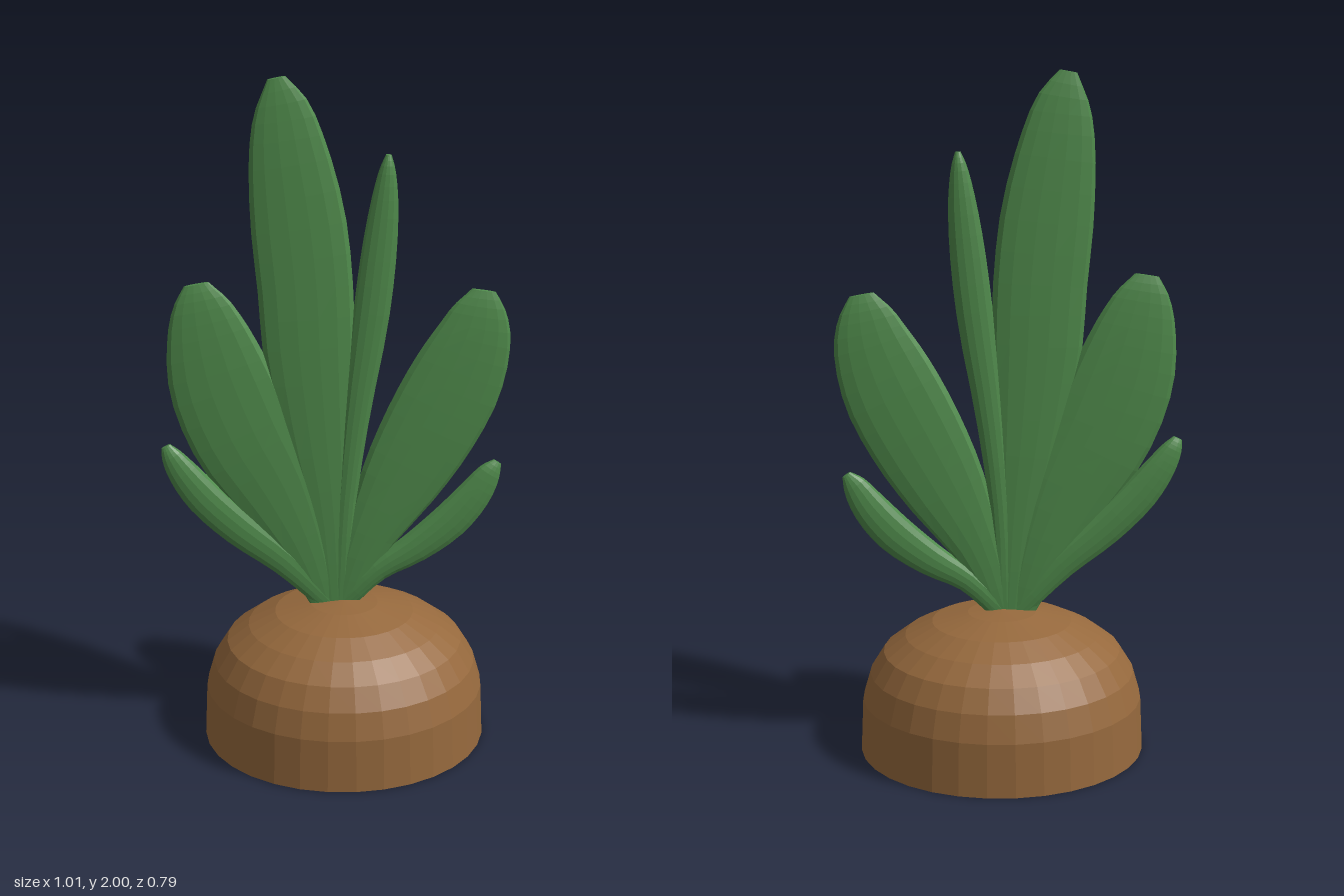
import * as THREE from 'three';

const LEAF_GREEN = 0x4f8a4b, ROOT_BROWN = 0x96693d;

// Flat leaf lofted along a spine of [x, y, half width] stations
function makeLeaf(name, stations, material) {
  const rows = 18, sides = 14, thickness = 0.028;
  const curve = new THREE.CatmullRomCurve3(stations.map(s => new THREE.Vector3(...s)));
  const positions = [], index = [];
  for (let i = 0; i <= rows; i++) {
    const t = i / rows;
    const p = curve.getPoint(t), d = curve.getTangent(t);
    const len = Math.hypot(d.x, d.y), sx = d.y / len, sy = -d.x / len;
    const depth = thickness * Math.pow(Math.sin(Math.PI * (0.04 + 0.93 * t)), 0.6);
    for (let j = 0; j < sides; j++) {
      const a = j / sides * Math.PI * 2, c = Math.cos(a), s = Math.sin(a);
      const w = Math.max(p.z, 0.004) * c;
      // Slightly squared ellipse keeps the faces broad and the rims round
      positions.push(p.x + sx * w, p.y + sy * w, Math.sign(s) * Math.pow(Math.abs(s), 0.8) * depth);
    }
  }
  for (let i = 0; i < rows; i++) {
    for (let j = 0; j < sides; j++) {
      const a = i * sides + j, b = i * sides + (j + 1) % sides;
      index.push(a, a + sides, b, b, a + sides, b + sides);
    }
  }
  // Close base and tip
  const top = rows * sides;
  for (let j = 1; j < sides - 1; j++) {
    index.push(0, j, j + 1, top, top + j + 1, top + j);
  }
  const geometry = new THREE.BufferGeometry();
  geometry.setAttribute('position', new THREE.Float32BufferAttribute(positions, 3));
  geometry.setIndex(index);
  geometry.computeVertexNormals();
  const mesh = new THREE.Mesh(geometry, material);
  mesh.name = name;
  return mesh;
}

export function createModel() {
  const group = new THREE.Group();
  group.name = 'sproutingRoot';

  // Hollow root crown, open underneath
  const profile = [
    [0.42, 0], [0.413, 0.16], [0.39, 0.24], [0.35, 0.305],
    [0.286, 0.354], [0.206, 0.394], [0.1, 0.42], [0, 0.43],
  ].map(([r, y]) => new THREE.Vector2(r, y));
  const crown = new THREE.Mesh(
    new THREE.LatheGeometry(profile, 32),
    new THREE.MeshStandardMaterial({ color: ROOT_BROWN, flatShading: true, side: THREE.DoubleSide })
  );
  crown.name = 'rootCrown';
  crown.scale.z = 0.393 / 0.42;
  crown.position.x = 0.028;
  group.add(crown);

  // Fan of leaves
  const green = new THREE.MeshStandardMaterial({ color: LEAF_GREEN, flatShading: true });
  const leaves = {
    tallLeaf: [[0, 0.42, 0.04], [-0.02, 0.7, 0.07], [-0.05, 0.95, 0.105], [-0.073, 1.2, 0.13],
      [-0.083, 1.4, 0.135], [-0.103, 1.6, 0.133], [-0.13, 1.8, 0.108], [-0.145, 1.92, 0.075], [-0.16, 2, 0.025]],
    slenderLeaf: [[0.02, 0.42, 0.03], [0.03, 0.7, 0.03], [0.06, 1, 0.04], [0.102, 1.3, 0.052],
      [0.125, 1.5, 0.05], [0.14, 1.65, 0.038], [0.147, 1.74, 0.022], [0.15, 1.78, 0.008]],
    broadRightLeaf: [[-0.03, 0.42, 0.04], [-0.09, 0.6, 0.08], [-0.18, 0.8, 0.13], [-0.26, 0.95, 0.152],
      [-0.325, 1.12, 0.15], [-0.36, 1.26, 0.12], [-0.38, 1.36, 0.08], [-0.39, 1.42, 0.035]],
    broadLeftLeaf: [[0.03, 0.42, 0.04], [0.09, 0.6, 0.07], [0.19, 0.8, 0.12], [0.27, 0.95, 0.14],
      [0.345, 1.1, 0.14], [0.395, 1.23, 0.115], [0.415, 1.32, 0.08], [0.425, 1.38, 0.035]],
    smallRightLeaf: [[-0.02, 0.42, 0.03], [-0.15, 0.56, 0.045], [-0.28, 0.67, 0.055], [-0.38, 0.77, 0.055],
      [-0.44, 0.85, 0.045], [-0.473, 0.905, 0.03], [-0.488, 0.935, 0.014]],
    smallLeftLeaf: [[0.03, 0.42, 0.03], [0.13, 0.52, 0.035], [0.24, 0.59, 0.05], [0.34, 0.67, 0.058],
      [0.41, 0.75, 0.052], [0.455, 0.82, 0.035], [0.478, 0.853, 0.014]],
  };
  for (const [name, stations] of Object.entries(leaves)) group.add(makeLeaf(name, stations, green));

  return group;
}
